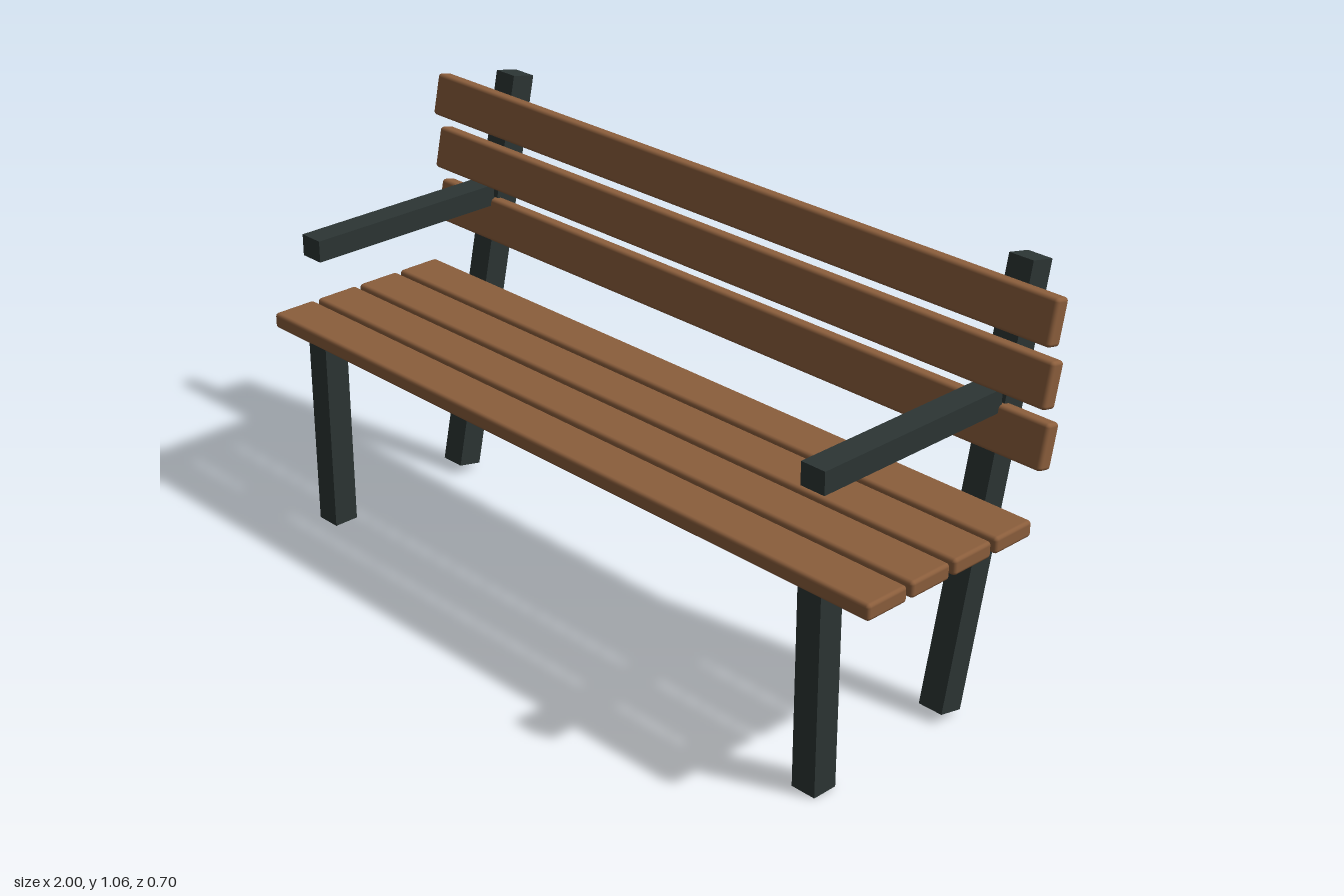
import * as THREE from 'three';
import { RoundedBoxGeometry } from 'three/addons/geometries/RoundedBoxGeometry.js';

const LEAN = 0.2094; // backward tilt of the backrest
const POST = 0.066; // thickness of the frame bars

export function createModel() {
  const bench = new THREE.Group();
  bench.name = 'bench';

  const wood = new THREE.MeshStandardMaterial({ color: 0x8b5e3c });
  wood.name = 'wood';
  const iron = new THREE.MeshStandardMaterial({ color: 0x2c3534 });
  iron.name = 'dark iron';

  function add(name, geometry, material, x, y, z, tilt = 0) {
    const mesh = new THREE.Mesh(geometry, material);
    mesh.name = name;
    mesh.position.set(x, y, z);
    mesh.rotation.x = tilt;
    bench.add(mesh);
  }

  // Four flat seat slats
  const seatSlat = new RoundedBoxGeometry(2, 0.04, 0.12, 2, 0.009);
  for (let i = 0; i < 4; i++) {
    add(`seatSlat${i + 1}`, seatSlat, wood, 0, 0.513, 0.293 - i * 0.1335);
  }

  // Three leaning back slats, stacked straight up
  const backSlat = new RoundedBoxGeometry(2, 0.108, 0.04, 2, 0.009);
  for (let i = 0; i < 3; i++) {
    add(`backSlat${i + 1}`, backSlat, wood, 0, 0.691 + i * 0.144, -0.209, -LEAN);
  }

  // Iron frame, mirrored on both sides
  const frontLeg = new THREE.BoxGeometry(POST, 0.5, POST);
  const backPost = new THREE.BoxGeometry(POST, 1.054, POST);
  const armrest = new THREE.BoxGeometry(POST, 0.055, 0.556);
  for (const [side, x] of [['left', 0.833], ['right', -0.833]]) {
    add(`${side}FrontLeg`, frontLeg, iron, x, 0.25, 0.314);
    add(`${side}BackPost`, backPost, iron, x, 0.534, -0.208, -LEAN);
    add(`${side}Armrest`, armrest, iron, x, 0.756, 0.069);
  }

  return bench;
}
